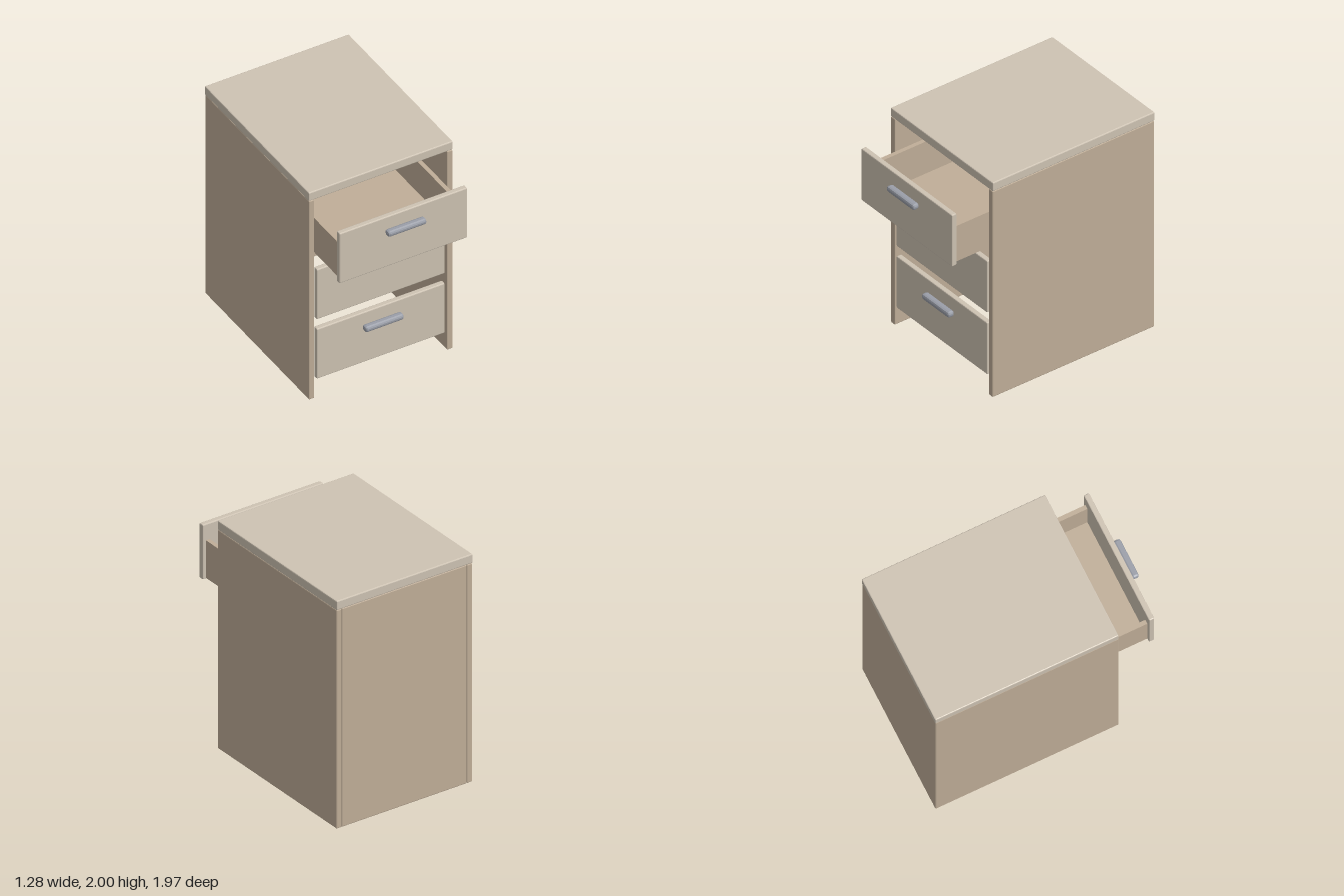
import * as THREE from 'three';
import { RoundedBoxGeometry } from 'three/addons/geometries/RoundedBoxGeometry.js';

const wood = new THREE.MeshStandardMaterial({ color: 0xc0ae98, flatShading: true });
const paleWood = new THREE.MeshStandardMaterial({ color: 0xcec3b3, flatShading: true });
const metal = new THREE.MeshStandardMaterial({ color: 0x9a9ea8, flatShading: true });

// Board given by its [min, max] range on each axis, with a small chamfer
function board(name, [x0, x1], [y0, y1], [z0, z1], material, bevel = 0.008) {
  const geometry = bevel
    ? new RoundedBoxGeometry(x1 - x0, y1 - y0, z1 - z0, 1, bevel)
    : new THREE.BoxGeometry(x1 - x0, y1 - y0, z1 - z0);
  const mesh = new THREE.Mesh(geometry, material);
  mesh.name = name;
  mesh.position.set((x0 + x1) / 2, (y0 + y1) / 2, (z0 + z1) / 2);
  return mesh;
}

// Drawer front with its handle; y is the lower edge, z the front face
function drawerFace(y, z) {
  const group = new THREE.Group();
  group.add(
    board('drawerFront', [-0.57, 0.57], [y, y + 0.48], [z - 0.046, z], paleWood),
    board('handle', [-0.172, 0.172], [y + 0.328, y + 0.378], [z + 0.007, z + 0.067], metal, 0.018)
  );
  return group;
}

export function createModel() {
  const model = new THREE.Group();
  model.name = 'drawerCabinet';

  // Carcass, open at the front and underneath
  model.add(
    board('top', [-0.642, 0.642], [1.92, 2], [-0.988, 0.58], paleWood),
    board('leftSide', [0.59, 0.64], [0, 1.92], [-0.985, 0.58], wood),
    board('rightSide', [-0.64, -0.59], [0, 1.92], [-0.985, 0.58], wood),
    board('back', [-0.59, 0.59], [0, 1.92], [-0.985, -0.95], wood)
  );

  // Two closed drawers
  [['bottomDrawer', 0.175], ['middleDrawer', 0.75]].forEach(([name, y]) => {
    const drawer = drawerFace(y, 0.58);
    drawer.name = name;
    model.add(drawer);
  });

  // Top drawer, pulled out, with its tray
  const topDrawer = drawerFace(1.322, 0.92);
  topDrawer.name = 'topDrawer';
  topDrawer.add(board('drawerFloor', [-0.54, 0.54], [1.33, 1.362], [-0.06, 0.875], wood, 0));
  for (const [name, x] of [['drawerLeftWall', 0.522], ['drawerRightWall', -0.522]]) {
    topDrawer.add(board(name, [x - 0.018, x + 0.018], [1.362, 1.66], [-0.06, 0.875], wood, 0));
  }
  model.add(topDrawer);

  return model;
}
